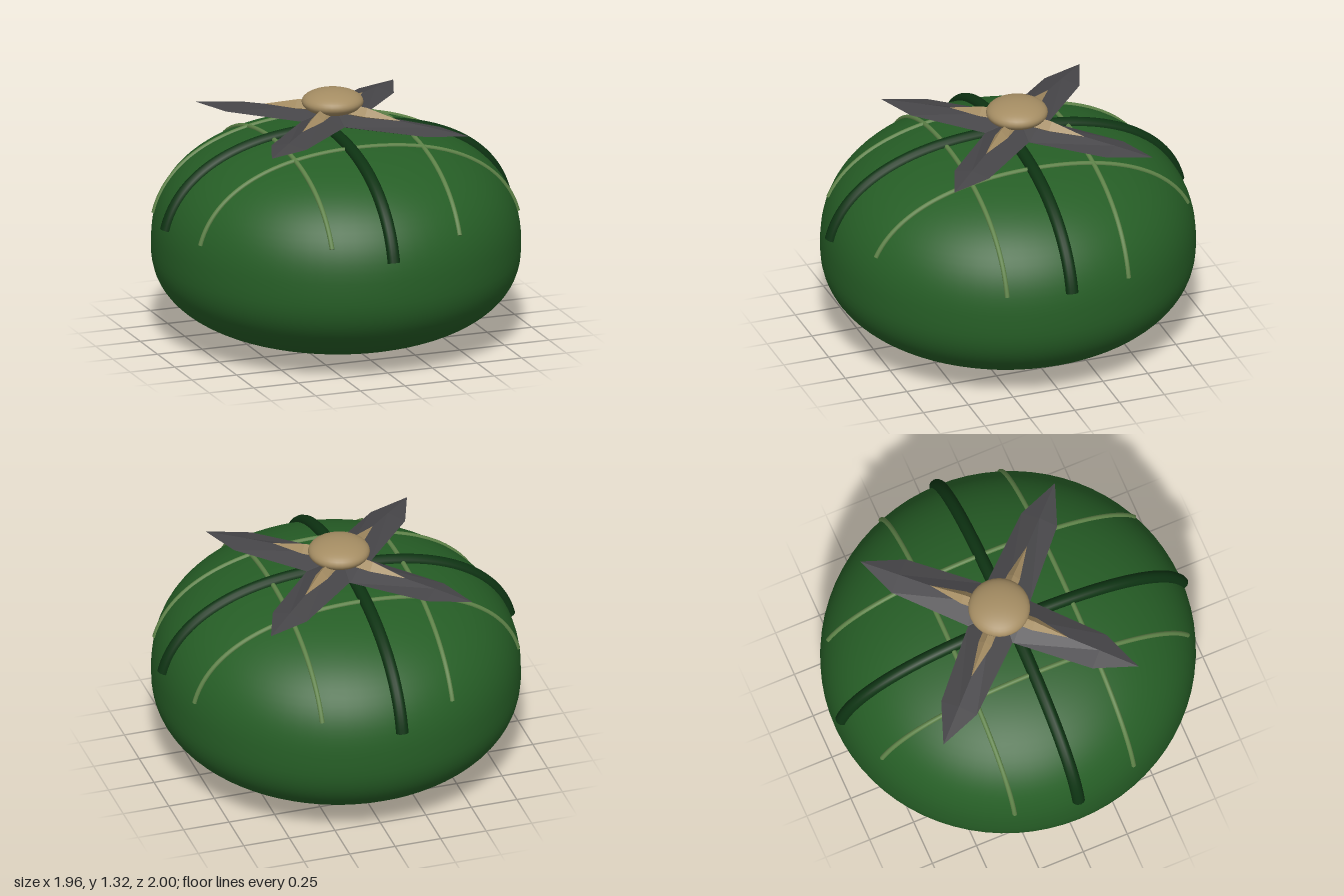
import * as THREE from 'three';

const mat = (name, color) => {
  const m = new THREE.MeshStandardMaterial({ color });
  m.name = name;
  return m;
};

// Squashed round body: half-widths, equator height, upper height and roundness
const RX = 0.965, RZ = 0.985, MID = 0.5, UP = 0.632, N = 2.4;
const topAt = (x, z) => {
  const r = Math.hypot(x / RX, z / RZ);
  return MID + UP * Math.pow(Math.max(0, 1 - Math.pow(r, N)), 1 / N);
};

function bodyGeometry() {
  const profile = [];
  for (let i = 0; i <= 48; i++) {
    const t = -Math.PI / 2 + (Math.PI * i) / 48;
    const r = i % 48 === 0 ? 0 : Math.pow(Math.cos(t), 2 / N);
    const s = Math.pow(Math.abs(Math.sin(t)), 2 / N);
    profile.push(new THREE.Vector2(r, t < 0 ? MID - MID * s : MID + UP * s));
  }
  return new THREE.LatheGeometry(profile, 72).scale(RX, 1, RZ);
}

// Flat-faced blade along +z from diamond sections [z, halfWidth, edgeY, topY, bottomY]
function bladeGeometry(sections) {
  const pos = [], index = [];
  sections.forEach(([z, w, edge, top, bottom], i) => {
    pos.push(w, edge, z, 0, top, z, -w, edge, z, 0, bottom, z);
    if (i === 0) return;
    for (let k = 0; k < 4; k++) {
      const a = (i - 1) * 4 + k, b = (i - 1) * 4 + ((k + 1) % 4);
      index.push(a, b, a + 4, b, b + 4, a + 4);
    }
  });
  const g = new THREE.BufferGeometry();
  g.setAttribute('position', new THREE.Float32BufferAttribute(pos, 3));
  g.setIndex(index);
  const flat = g.toNonIndexed();
  flat.computeVertexNormals();
  return flat;
}

export function createModel() {
  const model = new THREE.Group();
  const green = mat('body green', 0x265e26);
  const darkGreen = mat('dark vine green', 0x0d3312);
  const paleGreen = mat('pale vine green', 0x5e8248);
  const grey = mat('leaf grey', 0x464548);
  const tan = mat('stem tan', 0xa58d63);

  const add = (name, geometry, material, parent = model) => {
    const mesh = new THREE.Mesh(geometry, material);
    mesh.name = name;
    parent.add(mesh);
    return mesh;
  };

  add('body', bodyGeometry(), green);

  // Vine draped over the body, running along x or z, with closed ends
  const vine = (name, alongX, offset, reach, radius, material) => {
    const group = new THREE.Group();
    group.name = name;
    const pts = [];
    for (let i = 0; i <= 40; i++) {
      const u = reach * Math.sin((i / 40 - 0.5) * Math.PI * 0.94) / Math.sin(Math.PI * 0.47);
      const [x, z] = alongX ? [u, offset] : [offset, u];
      pts.push(new THREE.Vector3(x, topAt(x, z), z));
    }
    const curve = new THREE.CatmullRomCurve3(pts);
    add('vineTube', new THREE.TubeGeometry(curve, 80, radius, 12), material, group);
    for (const end of [0, 1]) {
      const cap = add('vineEnd', new THREE.CircleGeometry(radius, 12), material, group);
      const p = curve.getPointAt(end);
      const out = curve.getTangentAt(end).multiplyScalar(end ? 1 : -1);
      cap.position.copy(p);
      cap.quaternion.setFromUnitVectors(new THREE.Vector3(0, 0, 1), out);
    }
    model.add(group);
  };

  vine('darkVineAcross', true, -0.005, 0.948, 0.034, darkGreen);
  vine('darkVineLengthwise', false, -0.05, 0.967, 0.034, darkGreen);
  for (const side of [-1, 1]) {
    vine('paleVineAcross', true, side * 0.338 - 0.004, 0.888, 0.013, paleGreen);
    vine('paleVineLengthwise', false, side * 0.357, 0.868, 0.013, paleGreen);
  }

  // Crown of four faceted leaves, each with a small spike, around a knob
  const crown = new THREE.Group();
  crown.name = 'crown';
  crown.position.z = -0.05;
  model.add(crown);
  const leaf = bladeGeometry([
    [0, 0.125, 1.165, 1.225, 1.12],
    [0.13, 0.125, 1.165, 1.218, 1.123],
    [0.565, 0.1, 1.16, 1.182, 1.147],
    [0.783, 0, 1.16, 1.16, 1.16],
  ]);
  const spike = bladeGeometry([
    [0, 0.035, 1.215, 1.265, 1.18],
    [0.2, 0.036, 1.205, 1.245, 1.18],
    [0.39, 0, 1.197, 1.197, 1.197],
  ]);
  for (let i = 0; i < 4; i++) {
    const angle = Math.PI / 4 + (i * Math.PI) / 2;
    add('leaf', leaf, grey, crown).rotation.y = angle;
    add('spike', spike, tan, crown).rotation.y = angle;
  }
  const knob = add('knob', new THREE.SphereGeometry(1, 32, 20).scale(0.162, 0.066, 0.162), tan, crown);
  knob.position.y = 1.258;

  return model;
}
